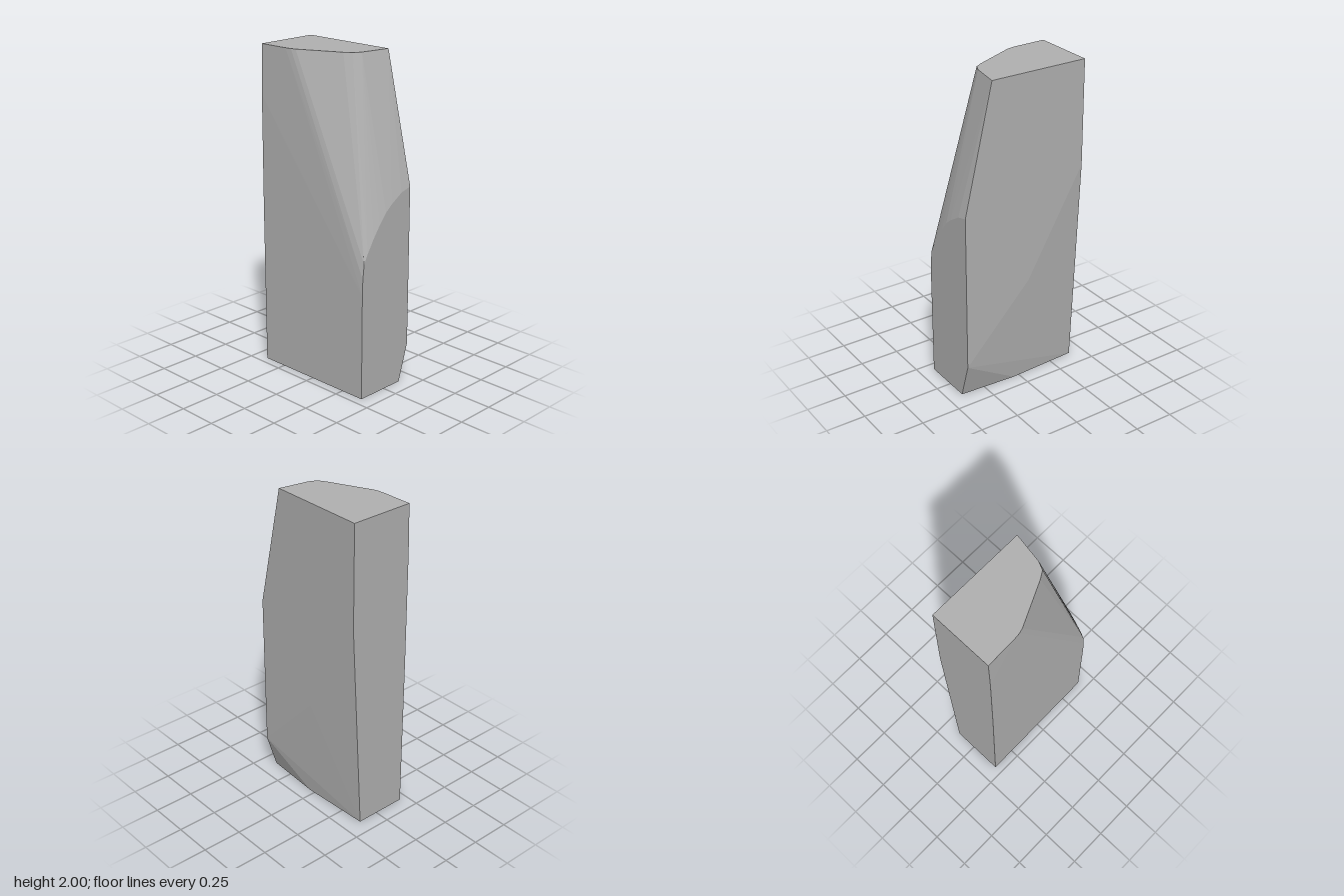
import * as THREE from 'three';
import { ConvexGeometry } from 'three/addons/geometries/ConvexGeometry.js';

export function createModel() {
  const group = new THREE.Group();
  group.name = 'standingStone';

  const stone = new THREE.MeshStandardMaterial({ color: 0xb0b0b0 });
  stone.name = 'stone grey';

  const W = 0.405; // half width
  const B = -0.205; // back plane

  // top outline as [x, z]
  const top = [
    [-W, B], [0.222, B], [0.19, -0.02], [0.167, 0.03], [0.12, 0.058],
    [-0.14, 0.178], [-0.17, 0.186], [-0.21, 0.19], [-W, 0.194],
  ];
  // curved upper edge of the +x side as [z, y]
  const shoulder = [
    [B, 1.22], [-0.13, 1.2], [-0.05, 1.15], [0, 1.11], [0.05, 1.05],
    [0.1, 0.98], [0.15, 0.9], [0.18, 0.84], [0.19, 0.75], [0.193, 0.65],
  ];
  // bottom outline as [x, z]
  const bottom = [[-W, 0.2], [W, 0.194], [W, -0.135], [0.04, -0.157], [-W, -0.135]];
  // worn lower edge of the back as [x, y]
  const backEdge = [[W, 0.23], [-0.03, 0.69], [-W, 1.35]];

  const points = [
    ...top.map(([x, z]) => new THREE.Vector3(x, 2, z)),
    ...shoulder.map(([z, y]) => new THREE.Vector3(W, y, z)),
    ...bottom.map(([x, z]) => new THREE.Vector3(x, 0, z)),
    ...backEdge.map(([x, y]) => new THREE.Vector3(x, y, B)),
    // slight bulge of the front edge
    new THREE.Vector3(-W, 1.7, 0.201),
    new THREE.Vector3(-W, 1.0, 0.203),
  ];

  // faceted block spanning all the outlines
  const block = new THREE.Mesh(new ConvexGeometry(points), stone);
  block.name = 'stoneBlock';
  group.add(block);
  return group;
}
